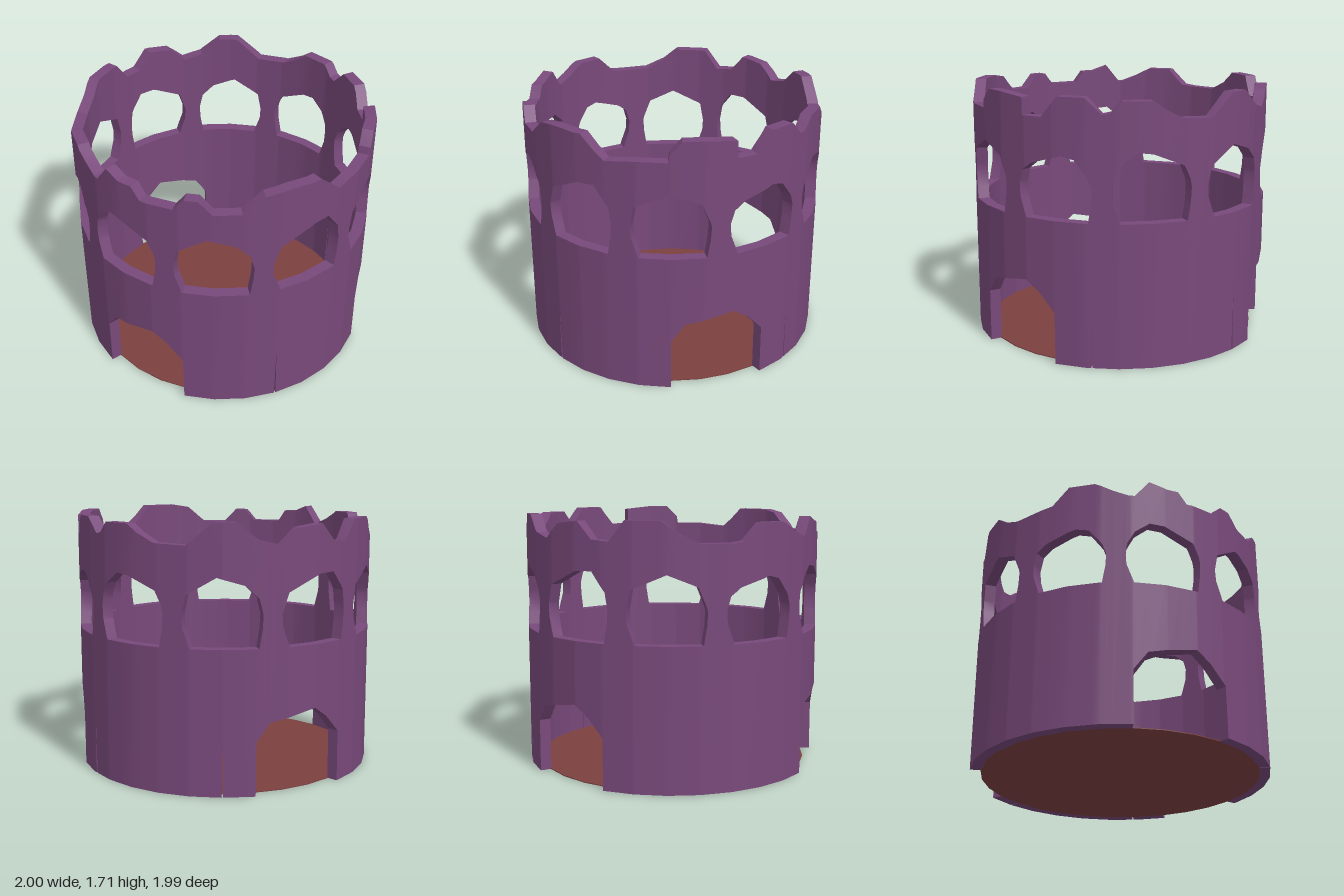
import * as THREE from 'three';
import { toCreasedNormals } from 'three/addons/utils/BufferGeometryUtils.js';

const RAD = Math.PI / 180;
const OUTER = 1, INNER = 0.925, FACET = 12; // 30-sided ring

// Ragged parapet: [angle in degrees from the front, height]
const parapet = [
  [-66, 1.56], [-54, 1.56], [-49, 1.57], [-42, 1.68], [-32, 1.68], [-25, 1.62], [-19, 1.58],
  [-17, 1.58], [-11.5, 1.7], [-5, 1.66], [0, 1.66], [3.5, 1.58], [16, 1.58], [20, 1.66], [25, 1.66],
  [30, 1.57], [40, 1.57], [48, 1.68], [55, 1.7], [69, 1.7], [74, 1.62], [78.5, 1.56], [90, 1.58],
  [101, 1.58], [101.5, 1.63], [106, 1.71], [114, 1.71], [125.4, 1.69], [125.5, 1.58], [133.5, 1.58],
  [140, 1.71], [150, 1.71], [156, 1.61], [159, 1.62], [163, 1.69], [174, 1.69], [178, 1.64],
  [185, 1.58], [197, 1.57], [207, 1.71], [215, 1.71], [223, 1.6], [231, 1.57], [238, 1.67],
  [248, 1.69], [254, 1.58], [261, 1.57], [267, 1.7], [280, 1.7], [286, 1.62], [294, 1.56],
];

// Window outlines as lower and upper curves around each window's centre
const windowLow = [[-14.5, 1.15], [-14.2, 1.07], [-11.5, 0.94], [13, 0.94], [14.2, 1.06], [14.5, 1.15]];
const windowTops = [
  [[-14, 1.22], [-11, 1.31], [-5.5, 1.38], [0, 1.37], [11.5, 1.29], [14, 1.2]],
  [[-13, 1.27], [-2, 1.38], [8, 1.33], [13, 1.25]],
  [[-12, 1.28], [1, 1.38], [8, 1.385], [13.5, 1.26]],
  [[-13, 1.28], [0, 1.375], [11, 1.3], [14, 1.18]],
  [[-13, 1.24], [-9, 1.29], [3, 1.35], [8, 1.33], [13, 1.22]],
].map((top) => [[-14.5, 1.15], ...top, [14.5, 1.15]]);

// Arched doorway, and the narrow crack in the wall foot
const door = [[-18, 0], [-17.9, 0.35], [-12.7, 0.47], [5.7, 0.53], [11.5, 0.46], [17.5, 0.35], [18, 0.34], [18.1, 0]];
const crack = [[-0.3, 0], [-0.05, 0.36], [0.05, 0.36], [0.3, 0]];

const windows = Array.from({ length: 10 }, (_, i) => ({ at: -6 + i * 36, top: windowTops[i % 5] }));
const notches = [
  ...[0, 120, 240].map((at) => ({ at, curve: door })),
  ...[54, 152, 210].map((at) => ({ at, curve: crack })),
];

// Linear interpolation along a curve, null outside it
function sample(curve, a) {
  for (let i = 1; i < curve.length; i++) {
    const [a0, y0] = curve[i - 1], [a1, y1] = curve[i];
    if (a >= a0 - 1e-6 && a <= a1 + 1e-6) return y0 + ((y1 - y0) * (a - a0)) / (a1 - a0);
  }
  return null;
}
const wrap = (a) => ((((a + 66) % 360) + 360) % 360) - 66;
const relative = (a, at) => ((((a - at + 180) % 360) + 360) % 360) - 180;

const parapetLoop = [...parapet, [294.001, 1.56]];
const topAt = (a) => sample(parapetLoop, Math.min(a, 294));

function bottomAt(a) {
  for (const n of notches) {
    const y = sample(n.curve, relative(a, n.at));
    if (y !== null) return y;
  }
  return 0;
}

// Point on the faceted ring
function point(r, a, y) {
  const off = a - Math.round(a / FACET) * FACET;
  const rr = (r * Math.cos((FACET / 2) * RAD)) / Math.cos(off * RAD);
  return [rr * Math.sin(a * RAD), y, rr * Math.cos(a * RAD)];
}

function ringWallGeometry() {
  const pos = [];
  const same = (p, q) => Math.hypot(p[0] - q[0], p[1] - q[1], p[2] - q[2]) < 1e-6;
  const tri = (a, b, c) => {
    if (!same(a, b) && !same(b, c) && !same(a, c)) pos.push(...a, ...b, ...c);
  };
  const quad = (a, b, c, d) => { tri(a, b, c); tri(a, c, d); };

  // One block of wall between two angles, with sloping foot and head
  function block(a0, a1, lo0, lo1, hi0, hi1) {
    const o = [point(OUTER, a0, lo0), point(OUTER, a1, lo1), point(OUTER, a1, hi1), point(OUTER, a0, hi0)];
    const i = [point(INNER, a0, lo0), point(INNER, a1, lo1), point(INNER, a1, hi1), point(INNER, a0, hi0)];
    quad(o[0], o[1], o[2], o[3]);
    quad(i[1], i[0], i[3], i[2]);
    quad(o[3], o[2], i[2], i[3]);
    quad(i[0], i[1], o[1], o[0]);
  }

  // Columns break at every facet corner and every outline point
  const cuts = [-66, 294];
  for (let k = 0; k < 30; k++) cuts.push(wrap(6 + k * FACET));
  parapet.forEach(([a]) => cuts.push(a));
  windows.forEach((w) => [...windowLow, ...w.top].forEach(([a]) => cuts.push(wrap(w.at + a))));
  notches.forEach((n) => n.curve.forEach(([a]) => cuts.push(wrap(n.at + a))));
  cuts.sort((a, b) => a - b);
  const angles = cuts.filter((a, i) => i === 0 || a - cuts[i - 1] > 1e-4);

  for (let i = 1; i < angles.length; i++) {
    const a0 = angles[i - 1], a1 = angles[i], mid = (a0 + a1) / 2;
    const b0 = bottomAt(a0), b1 = bottomAt(a1), t0 = topAt(a0), t1 = topAt(a1);
    const w = windows.find((v) => Math.abs(relative(mid, v.at)) < 14.5);
    if (!w) {
      block(a0, a1, b0, b1, t0, t1);
      continue;
    }
    const edge = (curve, a) => sample(curve, relative(a, w.at)) ?? 1.15;
    block(a0, a1, b0, b1, edge(windowLow, a0), edge(windowLow, a1));
    block(a0, a1, edge(w.top, a0), edge(w.top, a1), t0, t1);
  }
  const geometry = new THREE.BufferGeometry();
  geometry.setAttribute('position', new THREE.Float32BufferAttribute(pos, 3));
  return toCreasedNormals(geometry, 25 * RAD);
}

export function createModel() {
  const model = new THREE.Group();
  model.name = 'ruinedRoundTower';

  // Ring wall with doorways, windows and broken parapet
  const wall = new THREE.Mesh(ringWallGeometry(), new THREE.MeshStandardMaterial({ color: 0x78497a }));
  wall.name = 'ringWall';
  model.add(wall);

  // Thin round floor inside the wall
  const floorGeometry = new THREE.CylinderGeometry(0.93, 0.93, 0.006, 30);
  floorGeometry.rotateY(6 * RAD);
  const floor = new THREE.Mesh(floorGeometry, new THREE.MeshStandardMaterial({ color: 0x7c4040 }));
  floor.name = 'floor';
  floor.position.y = 0.003;
  model.add(floor);

  return model;
}
